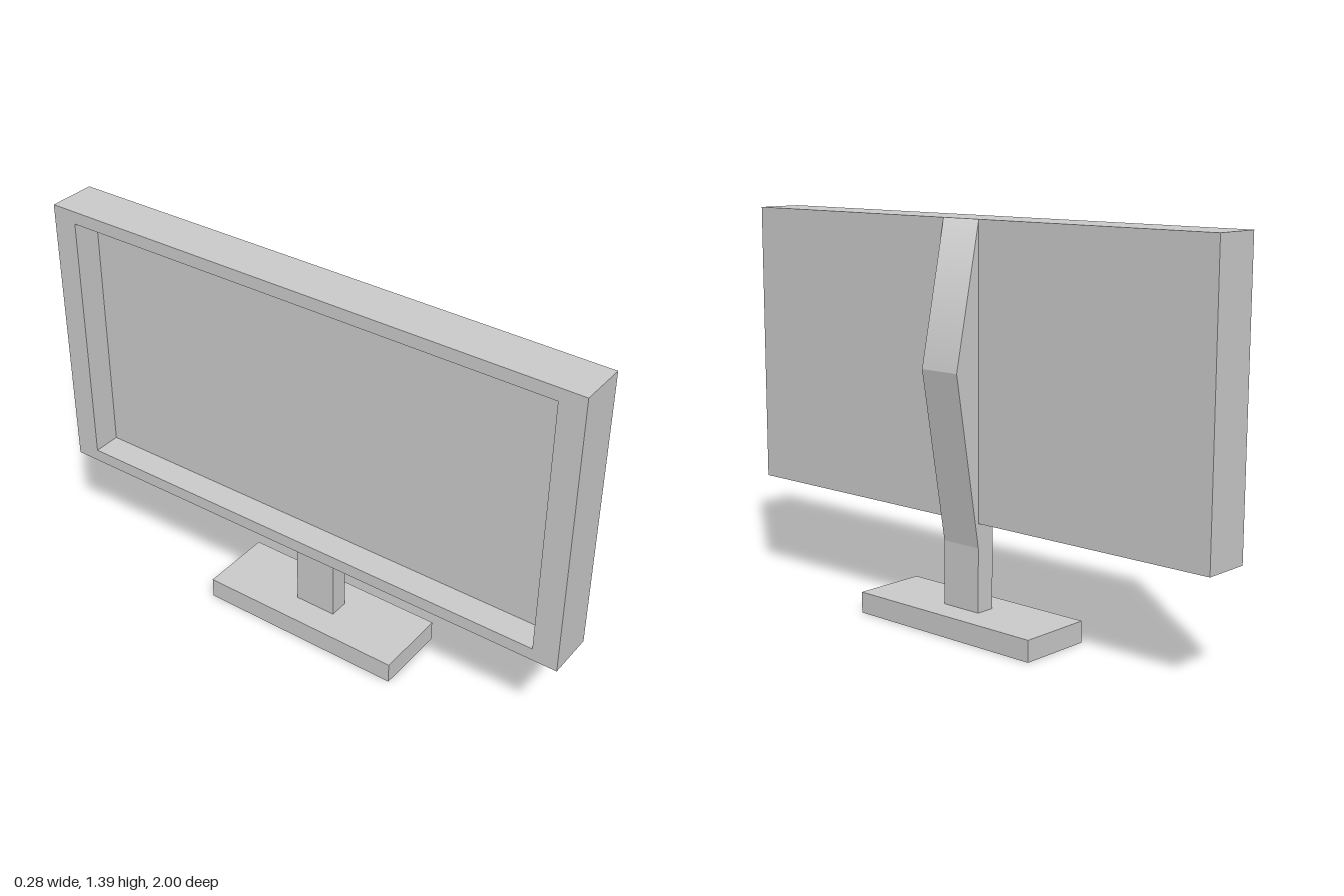
import * as THREE from 'three';

const material = new THREE.MeshStandardMaterial({ color: 0xcccccc });

// Depths along x: the screen faces -x, the stand arm is behind it at +x
const FRONT = -0.138, PANEL = -0.036, BACK = 0.034;
const BOTTOM = 0.385, TOP = 1.39;

function part(name, geometry) {
  const mesh = new THREE.Mesh(geometry, material);
  mesh.name = name;
  return mesh;
}

// Box given by its limits in x and y, centred on z
function slab(name, x0, x1, y0, y1, width) {
  const geometry = new THREE.BoxGeometry(x1 - x0, y1 - y0, width);
  return part(name, geometry.translate((x0 + x1) / 2, (y0 + y1) / 2, 0));
}

function rectangle(Path, w, h) {
  return new Path([[-w, -h], [w, -h], [w, h], [-w, h]].map(([x, y]) => new THREE.Vector2(x, y)));
}

// Raised border round the recessed screen
function makeBezel() {
  const h = (TOP - BOTTOM) / 2;
  const shape = rectangle(THREE.Shape, 1, h);
  shape.holes.push(rectangle(THREE.Path, 0.91, h - 0.045));
  const geometry = new THREE.ExtrudeGeometry(shape, { depth: PANEL - FRONT, bevelEnabled: false });
  geometry.rotateY(Math.PI / 2).translate(FRONT, BOTTOM + h, 0);
  return part('bezel', geometry);
}

// Upright post that runs into the angled spine behind the screen
function makeArm() {
  const profile = [
    [PANEL, 0.075], [BACK, 0.075], [BACK, 0.3], [0.138, 0.9],
    [BACK, TOP], [BACK, BOTTOM], [PANEL, BOTTOM],
  ].map(([x, y]) => new THREE.Vector2(x, y));
  const geometry = new THREE.ExtrudeGeometry(new THREE.Shape(profile), { depth: 0.156, bevelEnabled: false });
  geometry.translate(0, 0, -0.078);
  // Blend the upper slope softly into the top of the housing
  const { position, normal } = geometry.attributes;
  for (let i = 0; i < position.count; i++) {
    if (position.getY(i) > 1.3 && normal.getX(i) > 0.5) normal.setXYZ(i, 0.6, 0.8, 0);
  }
  return part('standArm', geometry);
}

export function createModel() {
  const model = new THREE.Group();
  model.name = 'monitor';
  model.add(
    slab('base', FRONT, 0.133, 0, 0.075, 0.77),
    makeArm(),
    slab('screenHousing', PANEL, BACK, BOTTOM, TOP, 2),
    makeBezel(),
  );
  return model;
}
